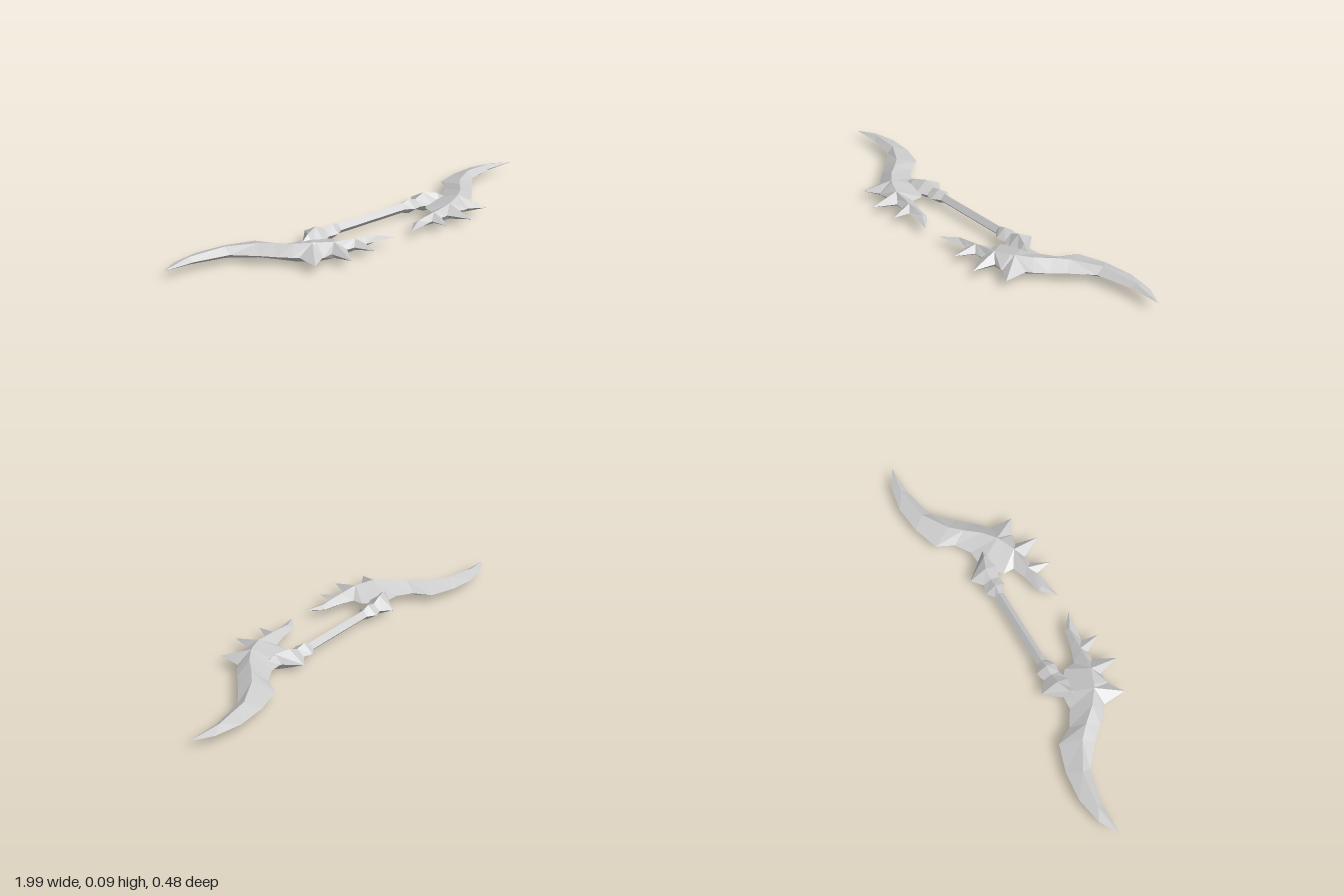
import * as THREE from 'three';

const MID = 0.047; // height of the cutting edges

// Collects triangles mirrored above and below the middle plane; s = -1 mirrors x
function makeMesh(name, s, material, build) {
  const pos = [];
  const put = (p, sy) => pos.push(p[0] * s, MID + sy * p[2], p[1]);
  const tri = (a, b, c) => {
    for (const sy of [1, -1]) {
      const order = s * sy > 0 ? [a, b, c] : [a, c, b];
      order.forEach((p) => put(p, sy));
    }
  };
  build(tri);
  const g = new THREE.BufferGeometry();
  g.setAttribute('position', new THREE.Float32BufferAttribute(pos, 3));
  g.computeVertexNormals();
  const mesh = new THREE.Mesh(g, material);
  mesh.name = name;
  return mesh;
}

// Diamond sections: [frontX, frontZ, ridgeX, ridgeZ, ridgeHeight, backX, backZ]
function loft(tri, sections) {
  const rows = sections.map(([fx, fz, rx, rz, h, bx, bz]) => [[fx, fz, 0], [rx, rz, h], [bx, bz, 0]]);
  for (let i = 0; i < rows.length - 1; i++) {
    for (let j = 0; j < 2; j++) {
      const a = rows[i][j], b = rows[i][j + 1], c = rows[i + 1][j + 1], d = rows[i + 1][j];
      tri(a, b, c);
      tri(a, c, d);
    }
  }
}

// Straight bar section at x: front z, ridge z, height, back z
const bar = (x, f, r, h, b) => [x, f, x, r, h, x, b];
const point = (x, z) => [x, z, x, z, 0, x, z];

const BLADE = [
  point(0.995, -0.168),
  [0.85, -0.165, 0.86, -0.19, 0.017, 0.91, -0.218],
  [0.7, -0.13, 0.7, -0.167, 0.026, 0.79, -0.24],
  [0.61, -0.045, 0.58, -0.095, 0.033, 0.66, -0.227],
  [0.56, 0.01, 0.53, -0.045, 0.037, 0.54, -0.187],
  [0.515, 0.055, 0.475, 0.02, 0.041, 0.5, -0.11],
  [0.475, 0.085, 0.415, 0.067, 0.045, 0.43, -0.065],
  [0.41, 0.14, 0.4, 0.075, 0.044, 0.35, -0.06],
  [0.35, 0.13, 0.33, 0.105, 0.038, 0.265, 0.01],
  [0.27, 0.14, 0.235, 0.115, 0.028, 0.262, 0.06],
  [0.19, 0.143, 0.17, 0.12, 0.022, 0.2, 0.083],
  [0.12, 0.155, 0.12, 0.125, 0.014, 0.11, 0.105],
  point(0.045, 0.168),
];

const HUB = [
  point(0.43, -0.01),
  bar(0.37, 0.005, -0.03, 0.037, -0.065),
  bar(0.31, 0.005, -0.055, 0.047, -0.137),
  bar(0.262, -0.018, -0.058, 0.025, -0.096),
  bar(0.22, -0.012, -0.058, 0.036, -0.107),
  bar(0.185, -0.038, -0.06, 0.024, -0.083),
];

// Spikes: outer base, inner base, tip, crest on the blade
const SPIKES = [
  [[0.49, 0.075, 0], [0.415, 0.137, 0], [0.485, 0.182, 0], [0.415, 0.067, 0.045]],
  [[0.365, 0.13, 0], [0.285, 0.135, 0], [0.34, 0.236, 0], [0.33, 0.105, 0.038]],
  [[0.25, 0.14, 0], [0.188, 0.142, 0], [0.205, 0.22, 0], [0.225, 0.115, 0.027]],
];

export function createModel() {
  const group = new THREE.Group();
  group.name = 'doubleBladedWeapon';
  const metal = new THREE.MeshStandardMaterial({ color: 0xcccccc });
  metal.name = 'pale grey metal';
  metal.flatShading = true;
  metal.side = THREE.DoubleSide;

  // Grip between the two heads
  group.add(makeMesh('grip', 1, metal, (tri) => loft(tri, [
    bar(0.19, -0.038, -0.06, 0.024, -0.083),
    bar(-0.19, -0.038, -0.06, 0.024, -0.083),
  ])));

  // Mirrored heads: crescent blade, hub with collar, front spikes
  for (const [s, side] of [[1, 'left'], [-1, 'right']]) {
    const head = new THREE.Group();
    head.name = side + 'Head';
    head.add(makeMesh(side + 'Blade', s, metal, (tri) => loft(tri, BLADE)));
    head.add(makeMesh(side + 'Hub', s, metal, (tri) => loft(tri, HUB)));
    head.add(makeMesh(side + 'Spikes', s, metal, (tri) => {
      for (const [a, b, tip, crest] of SPIKES) {
        tri(a, crest, tip);
        tri(crest, b, tip);
      }
    }));
    group.add(head);
  }
  return group;
}
